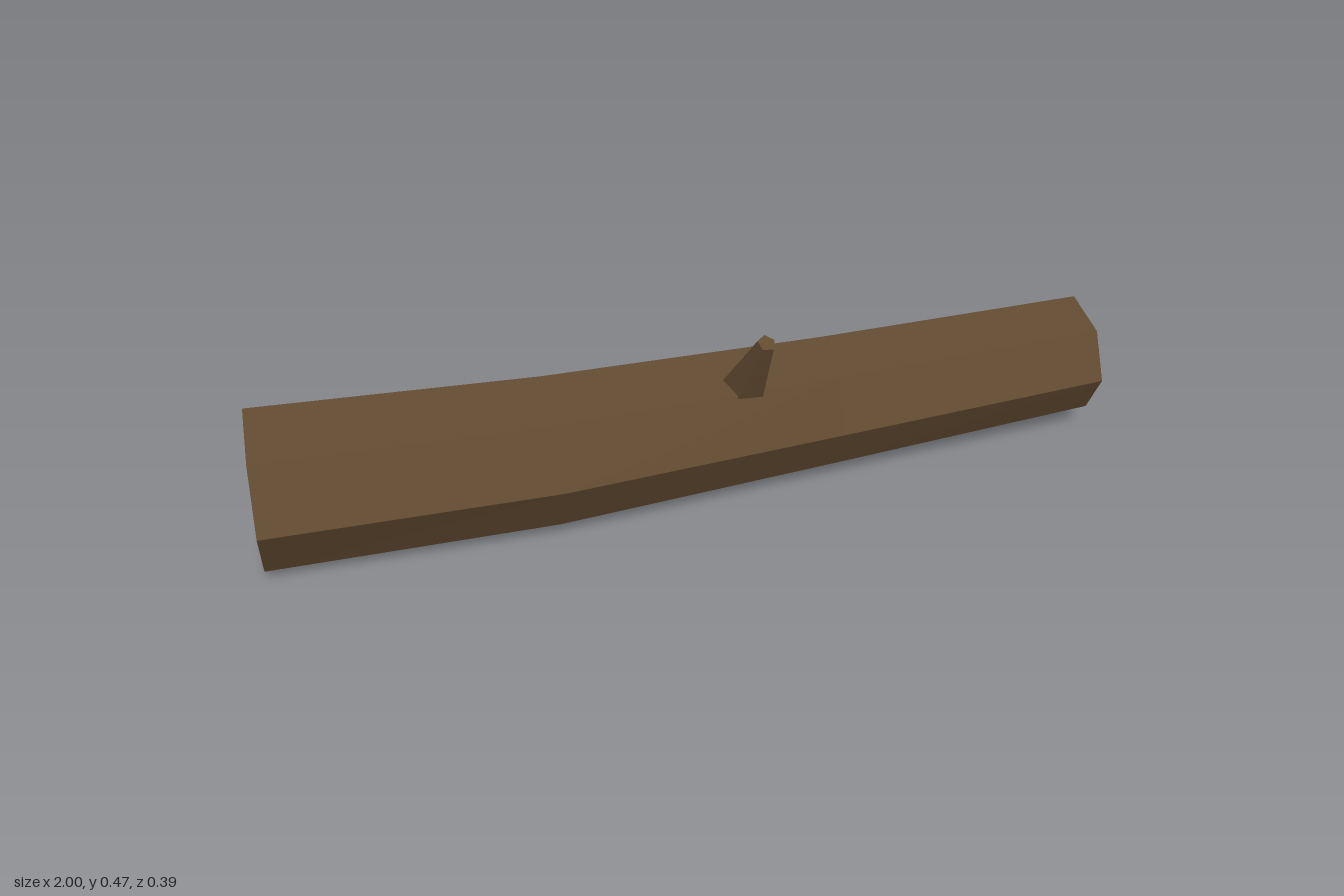
import * as THREE from 'three';

const SIDES = 7;
// Cross-sections along the log: centre x, y, z, radius upward, radius in depth, lean of the cut
const SECTIONS = [
  [-0.99, 0.181, -0.024, 0.185, 0.194, -0.06],
  [-0.335, 0.181, 0.016, 0.174, 0.179, -0.015],
  [0.33, 0.176, -0.002, 0.155, 0.156, 0.02],
  [0.995, 0.181, -0.02, 0.139, 0.144, 0.027],
];

function ringPoint([x, y, z, ry, rz, lean], j) {
  const a = (j / SIDES) * Math.PI * 2;
  const dz = rz * Math.cos(a);
  return [x + lean * dz, y + ry * Math.sin(a), z + dz];
}

function flatGeometry(points) {
  const geometry = new THREE.BufferGeometry();
  geometry.setAttribute('position', new THREE.Float32BufferAttribute(points.flat(), 3));
  geometry.computeVertexNormals();
  return geometry;
}

// Bark skin lofted through the cross-sections
function barkGeometry() {
  const points = [];
  for (let i = 0; i < SECTIONS.length - 1; i++) {
    for (let j = 0; j < SIDES; j++) {
      const a = ringPoint(SECTIONS[i], j), b = ringPoint(SECTIONS[i + 1], j);
      const c = ringPoint(SECTIONS[i + 1], j + 1), d = ringPoint(SECTIONS[i], j + 1);
      points.push(a, b, c, a, c, d);
    }
  }
  return flatGeometry(points);
}

// Sawn end, a fan around the section's centre
function endGeometry(section, facesRight) {
  const points = [];
  for (let j = 0; j < SIDES; j++) {
    const a = ringPoint(section, j), b = ringPoint(section, j + 1);
    points.push(section.slice(0, 3), ...(facesRight ? [b, a] : [a, b]));
  }
  return flatGeometry(points);
}

export function createModel() {
  const bark = new THREE.MeshStandardMaterial({ color: 0x614a30, flatShading: true });
  bark.name = 'bark';
  const cutWood = new THREE.MeshStandardMaterial({ color: 0xb29268, flatShading: true });
  cutWood.name = 'cutWood';

  const log = new THREE.Group();
  log.name = 'log';
  const add = (name, geometry, material) => {
    const mesh = new THREE.Mesh(geometry, material);
    mesh.name = name;
    log.add(mesh);
    return mesh;
  };

  add('trunk', barkGeometry(), bark);
  add('leftCut', endGeometry(SECTIONS[3], true), cutWood);
  add('rightCut', endGeometry(SECTIONS[0], false), cutWood);

  // Broken branch stub leaning forward
  const base = new THREE.Vector3(0.112, 0.278, 0.057);
  const tip = new THREE.Vector3(0.135, 0.462, 0.152);
  const axis = tip.clone().sub(base);
  const stub = add('branchStub',
    new THREE.CylinderGeometry(0.021, 0.057, axis.length(), 5, 1, false, Math.PI), bark);
  stub.position.copy(base).lerp(tip, 0.5);
  stub.quaternion.setFromUnitVectors(new THREE.Vector3(0, 1, 0), axis.normalize());

  return log;
}
